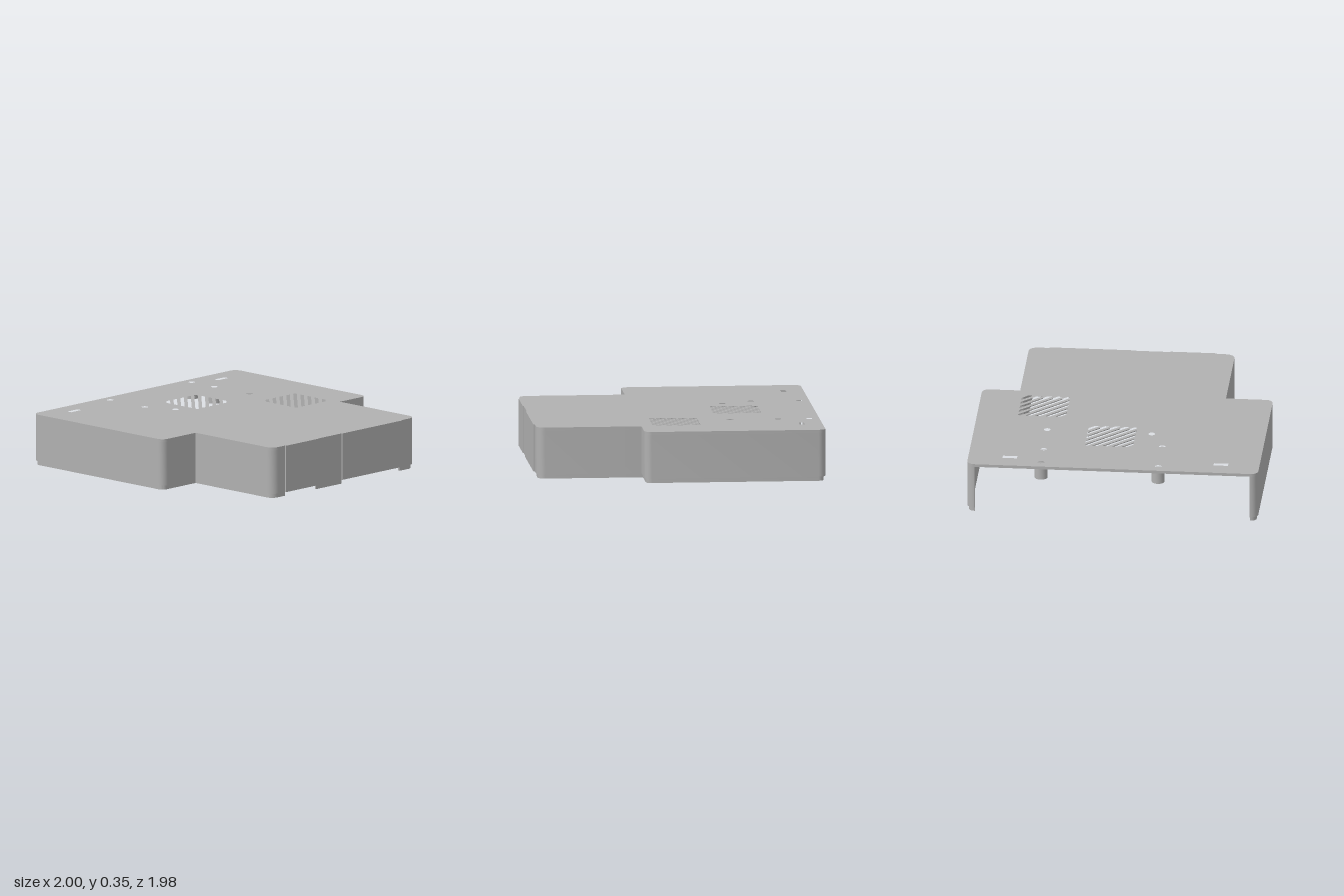
import * as THREE from 'three';
import { toCreasedNormals } from 'three/addons/utils/BufferGeometryUtils.js';

const V = (x, z) => new THREE.Vector2(x, z);

// Open path of [x, z, radius] corners, with rounded ones sampled as arcs
function roundPath(corners) {
  const out = [];
  corners.forEach(([x, z, r], i) => {
    const p = V(x, z);
    if (!r) { out.push(p); return; }
    const a = V(...corners[i - 1]).sub(p).normalize().multiplyScalar(r);
    const b = V(...corners[i + 1]).sub(p).normalize().multiplyScalar(r);
    for (let k = 0; k <= 8; k++) {
      const t = (k / 8) * Math.PI / 2;
      out.push(p.clone().addScaledVector(a, 1 - Math.sin(t)).addScaledVector(b, 1 - Math.cos(t)));
    }
  });
  return out;
}

// Mitred inward offset of an open path
function inset(path, d) {
  const normal = (a, b) => V(-(b.y - a.y), b.x - a.x).normalize();
  return path.map((p, i) => {
    const n0 = normal(path[Math.max(i - 1, 0)], path[Math.max(i, 1)]);
    const last = path.length - 1;
    const n1 = normal(path[Math.min(i, last - 1)], path[Math.min(i + 1, last)]);
    const m = n0.clone().add(n1);
    return p.clone().addScaledVector(m, d / (1 + n0.dot(n1)));
  });
}

// Upright prism from a plan outline (x, z) and plan holes
function prism(outline, holes, y0, y1) {
  const flip = pts => pts.map(p => V(p.x, -p.y));
  const shape = new THREE.Shape(flip(outline));
  shape.holes = holes.map(h => new THREE.Path(flip(h)));
  const g = new THREE.ExtrudeGeometry(shape, { depth: y1 - y0, bevelEnabled: false });
  g.rotateX(-Math.PI / 2);
  g.translate(0, y0, 0);
  return toCreasedNormals(g, 0.5);
}

const band = (path, d0, d1, y0, y1) =>
  prism([...inset(path, d0), ...inset(path, d1).reverse()], [], y0, y1);

const circle = (x, z, r, n = 24) => Array.from({ length: n }, (_, i) =>
  V(x + r * Math.cos(i * 2 * Math.PI / n), z + r * Math.sin(i * 2 * Math.PI / n)));

const rect = (x, z, w, d) => [V(x - w / 2, z - d / 2), V(x + w / 2, z - d / 2),
  V(x + w / 2, z + d / 2), V(x - w / 2, z + d / 2)];

// Diagonal vent slots clipped to a square
function ventSlots(cx, cz, h) {
  const slots = [];
  for (let k = -4; k <= 4; k++) {
    const a = k * 0.068 - 0.017, b = a + 0.034;
    let pts;
    if (k < 0) pts = [[-h, a + h], [a + h, -h], [b + h, -h], [-h, b + h]];
    else if (k > 0) pts = [[a - h, h], [h, a - h], [h, b - h], [b - h, h]];
    else pts = [[-h, a + h], [a + h, -h], [h - 0.01, -h], [h, -h + 0.01],
      [h, b - h], [b - h, h], [-h + 0.01, h], [-h, h - 0.01]];
    slots.push(pts.map(([x, z]) => V(cx + x, cz + z)));
  }
  return slots;
}

export function createModel() {
  const model = new THREE.Group();
  model.name = 'enclosureCover';
  const grey = new THREE.MeshStandardMaterial({ color: 0xb0b0b0 });
  grey.name = 'grey plastic';
  const add = (name, geometry) => {
    const mesh = new THREE.Mesh(geometry, grey);
    mesh.name = name;
    model.add(mesh);
    return mesh;
  };

  const TOP = 0.355, CEIL = 0.335, RIM = 0.03;

  // T-shaped plan, open along the back edge
  const leftSide = [[0.945, -0.99], [1, -0.99, 0.05], [1, 0.255, 0.05],
    [0.74, 0.255], [0.74, 0.975, 0.06]];
  const rightSide = [[-0.675, 0.975, 0.06], [-0.675, 0.245],
    [-1, 0.245, 0.05], [-1, -0.99, 0.05], [-0.945, -0.99]];
  const frontSteps = [[0.6, 0.975], [0.6, 0.985], [0.005, 0.985], [0.005, 0.979],
    [-0.23, 0.979], [-0.23, 0.985], [-0.55, 0.985], [-0.55, 0.975]];
  const outline = roundPath([...leftSide, ...frontSteps, ...rightSide]);

  // Top plate with screw holes, slots and vents
  const postSpots = [[-0.31, -0.92], [-0.31, -0.59], [0.495, -0.92], [0.495, -0.705]];
  const plainHoles = [[-0.22, -0.385], [0.5, -0.375]];
  const holes = [
    ...[...postSpots, ...plainHoles].map(([x, z]) => circle(x, z, 0.023)),
    rect(-0.735, -0.85, 0.1, 0.036),
    rect(0.715, -0.85, 0.1, 0.036),
    ...ventSlots(0.055, -0.45, 0.165),
    ...ventSlots(0.555, 0.01, 0.165),
  ];
  add('topPlate', prism(outline, holes, CEIL, TOP));

  // Side and front walls
  add('walls', band(outline, 0, 0.025, RIM, CEIL));

  // Stepped-in lip under the walls, with gaps at the front
  add('leftLip', band(roundPath([...leftSide, [0.59, 0.975]]), 0.011, 0.025, 0, RIM));
  add('rightLip', band(roundPath([[-0.54, 0.975], ...rightSide]), 0.011, 0.025, 0, RIM));
  add('frontLip', prism(rect(-0.11, 0.961, 0.25, 0.014), [], 0, RIM));

  // Hollow screw posts under the plate
  for (const [x, z] of postSpots) {
    add('screwPost', prism(circle(x, z, 0.045), [circle(x, z, 0.023)], 0.245, CEIL));
  }

  // Long pins behind the front wall
  for (const x of [-0.37, 0.052, 0.432]) {
    add('frontPin', new THREE.CylinderGeometry(0.033, 0.033, CEIL - 0.026, 24))
      .position.set(x, (CEIL + 0.026) / 2, 0.905);
  }
  return model;
}
